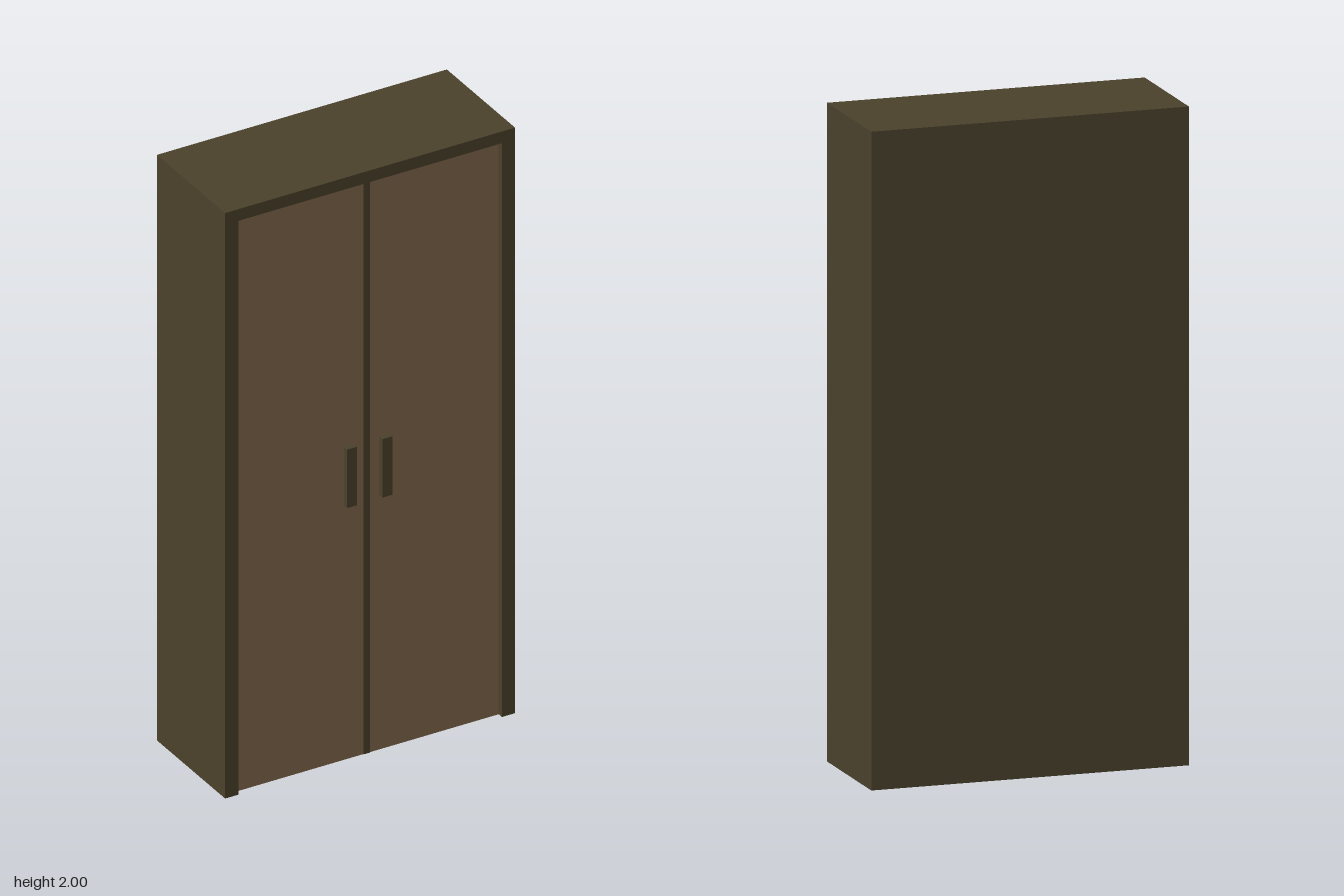
import * as THREE from 'three';

export function createModel() {
  const model = new THREE.Group();
  model.name = 'wardrobe';

  const darkWood = new THREE.MeshStandardMaterial({ color: 0x4b412c });
  darkWood.name = 'darkWood';
  const lightWood = new THREE.MeshStandardMaterial({ color: 0x80674b });
  lightWood.name = 'lightWood';

  // Box given by its lower and upper corners
  const box = (name, material, [x0, y0, z0], [x1, y1, z1]) => {
    const mesh = new THREE.Mesh(new THREE.BoxGeometry(x1 - x0, y1 - y0, z1 - z0), material);
    mesh.position.set((x0 + x1) / 2, (y0 + y1) / 2, (z0 + z1) / 2);
    mesh.name = name;
    model.add(mesh);
  };

  const W = 0.497, D = 0.199, inner = 0.452, ceiling = 1.96;

  // Carcass, open underneath
  box('topPanel', darkWood, [-W, ceiling, -D], [W, 2, D]);
  box('backPanel', darkWood, [-inner, 0, -D], [inner, ceiling, -D + 0.02]);
  box('rightSide', darkWood, [-W, 0, -D], [-inner, ceiling, D]);
  box('leftSide', darkWood, [inner, 0, -D], [W, ceiling, D]);

  // Narrow post between the doors
  box('centrePost', darkWood, [-0.012, 0, 0.155], [0.009, ceiling, 0.182]);

  // Recessed doors
  box('rightDoor', lightWood, [-inner, 0, 0.16], [-0.012, ceiling, 0.18]);
  box('leftDoor', lightWood, [0.009, 0, 0.16], [inner, ceiling, 0.18]);

  // Upright handles
  box('rightHandle', darkWood, [-0.079, 0.87, 0.18], [-0.045, 1.07, 0.2]);
  box('leftHandle', darkWood, [0.042, 0.87, 0.18], [0.076, 1.07, 0.2]);

  return model;
}
